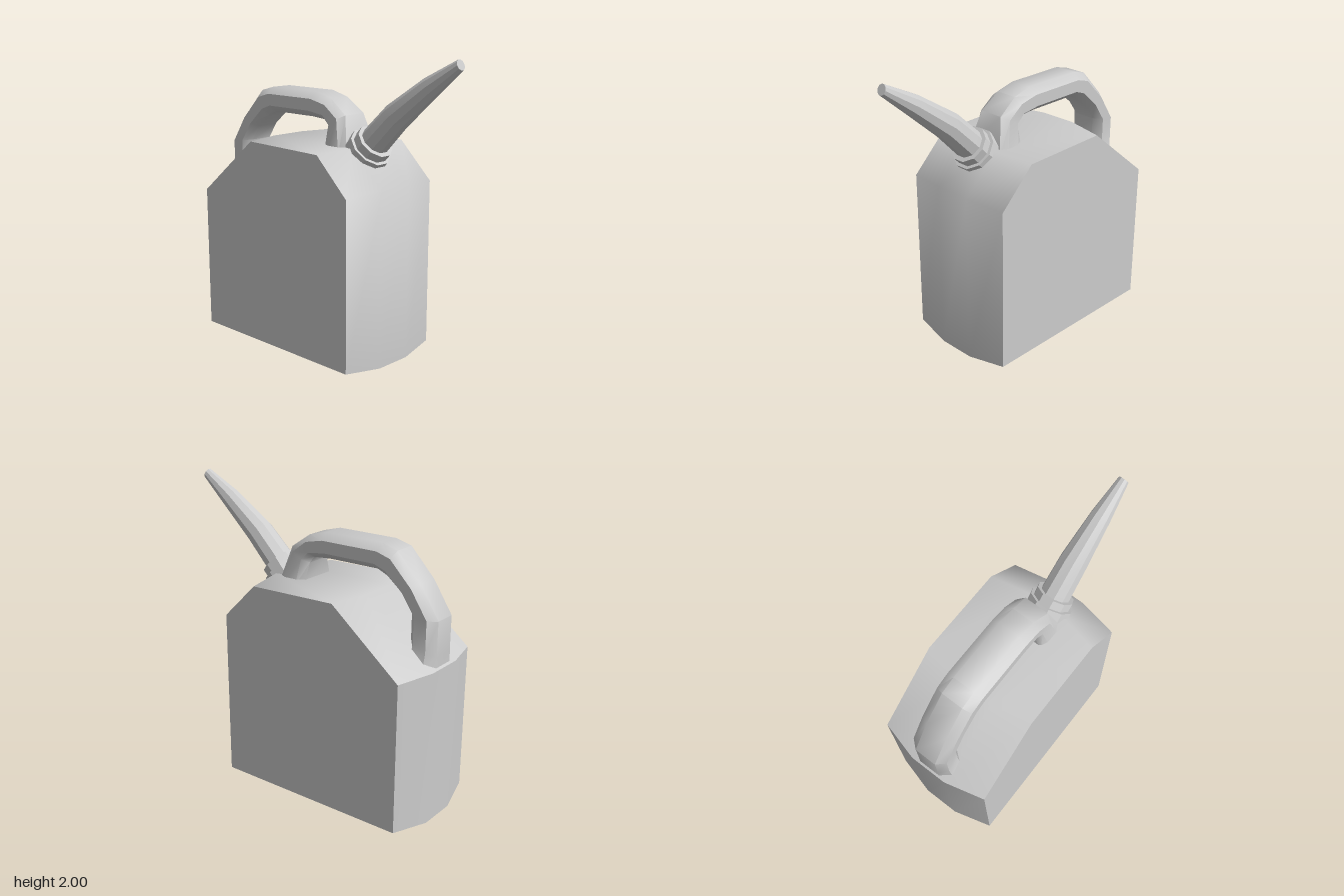
import * as THREE from 'three';
import { toCreasedNormals } from 'three/addons/utils/BufferGeometryUtils.js';

// Closed skin over a list of rings (each a list of [x, y, z]) with flat end caps
function loft(rings, crease) {
  const n = rings[0].length;
  const points = rings.flat();
  let faces = [];
  for (let r = 0; r < rings.length - 1; r++) {
    for (let i = 0; i < n; i++) {
      const a = r * n + i, b = r * n + (i + 1) % n;
      faces.push([a, b, b + n], [a, b + n, a + n]);
    }
  }
  const last = (rings.length - 1) * n;
  for (let i = 1; i < n - 1; i++) {
    faces.push([0, i + 1, i], [last, last + i, last + i + 1]);
  }
  // Turn the faces outward
  const v = points.map((p) => new THREE.Vector3(...p));
  const volume = faces.reduce((s, [a, b, c]) => s + v[a].dot(v[b].clone().cross(v[c])), 0);
  if (volume < 0) faces = faces.map(([a, b, c]) => [a, c, b]);
  const geo = new THREE.BufferGeometry();
  geo.setAttribute('position', new THREE.Float32BufferAttribute(points.flat(), 3));
  geo.setIndex(faces.flat());
  return toCreasedNormals(geo, crease);
}

// Ten-sided ring around a centre in the yz plane, facing along the given slope angle
function roundRing([z, y, radius, angle], x = -0.013) {
  return Array.from({ length: 10 }, (_, i) => {
    const t = ((i + 0.5) / 10) * Math.PI * 2 + Math.PI / 2;
    const up = Math.sin(t) * radius;
    return [x + Math.cos(t) * radius, y + up * Math.cos(angle), z - up * Math.sin(angle)];
  });
}

export function createModel() {
  const model = new THREE.Group();
  const material = new THREE.MeshStandardMaterial({ color: 0xcccccc });
  const add = (name, geometry) => {
    const mesh = new THREE.Mesh(geometry, material);
    mesh.name = name;
    model.add(mesh);
  };

  // Body: side profiles [z, y], bulging towards the middle
  const edge = [[0.44, 0.03], [0.44, 1.155], [0.19, 1.398], [-0.43, 1.41], [-0.915, 1.015], [-0.915, 0.03]];
  const middle = [[0.485, 0], [0.485, 1.175], [0.24, 1.412], [-0.495, 1.412], [-0.985, 1.02], [-0.985, 0]];
  const slice = (x, profile) => profile.map(([z, y]) => [x, y, z]);
  add('body', loft([
    slice(-0.4, edge), slice(-0.13, middle), slice(0.13, middle), slice(0.4, edge),
  ], 0.84));

  // Handle: outer [z, y], inner [z, y], half width, flat half width
  const stations = [
    [0.2, 1.37, 0.0, 1.37, 0.165, 0.14],
    [0.135, 1.605, -0.01, 1.52, 0.13, 0.085],
    [0, 1.7, -0.04, 1.56, 0.13, 0.075],
    [-0.13, 1.735, -0.17, 1.57, 0.13, 0.075],
    [-0.56, 1.735, -0.53, 1.57, 0.13, 0.075],
    [-0.67, 1.705, -0.6, 1.54, 0.13, 0.075],
    [-0.84, 1.525, -0.71, 1.45, 0.13, 0.075],
    [-0.97, 1.325, -0.785, 1.345, 0.13, 0.075],
    [-0.97, 1.1, -0.785, 1.2, 0.13, 0.075],
    [-0.972, 1.0, -0.785, 1.1, 0.16, 0.08],
  ];
  add('handle', loft(stations.map(([oz, oy, iz, iy, wide, flat]) => {
    const at = (x, t) => [x - 0.004, oy + (iy - oy) * t, oz + (iz - oz) * t];
    return [
      at(-flat, 0), at(flat, 0), at(wide, 0.26), at(wide, 0.74),
      at(flat, 1), at(-flat, 1), at(-wide, 0.74), at(-wide, 0.26),
    ];
  }), 0.72));

  // Spout collar: two stepped rings on the front slope
  const tilt = Math.PI / 4;
  add('collarBase', loft([[0.23, 1.355, 0.148, tilt], [0.288, 1.413, 0.148, tilt]].map((s) => roundRing(s)), 0.3));
  add('collarRing', loft([[0.275, 1.4, 0.127, tilt], [0.328, 1.454, 0.127, tilt]].map((s) => roundRing(s)), 0.3));

  // Spout: tapering tube that bends forward
  add('spout', loft([
    [0.31, 1.44, 0.1, tilt],
    [0.5, 1.627, 0.092, 0.73],
    [0.76, 1.825, 0.067, 0.6],
    [0.973, 1.968, 0.035, 0.4],
  ].map((s) => roundRing(s)), 0.3));

  return model;
}
